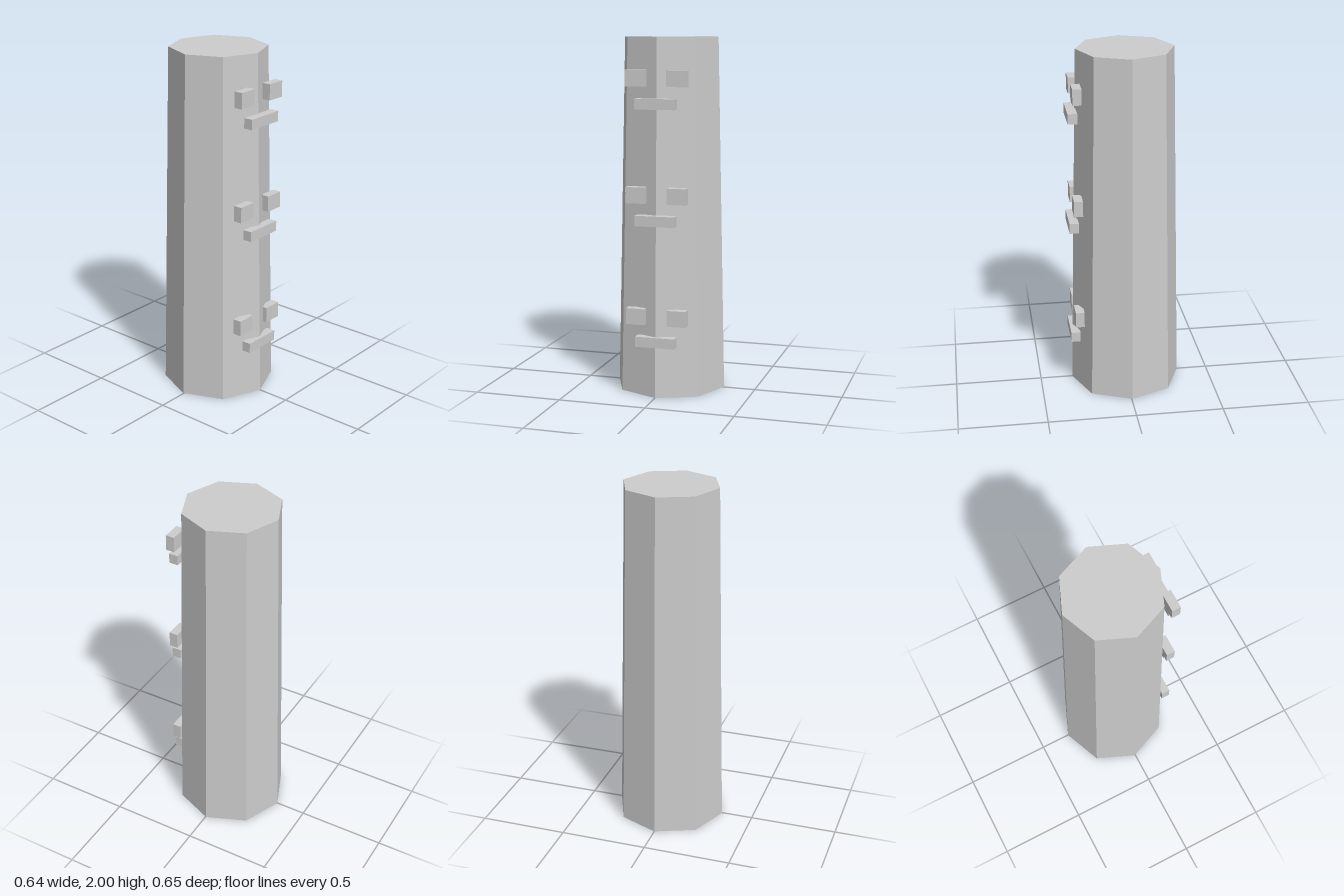
import * as THREE from 'three';

export function createModel() {
  const group = new THREE.Group();
  const stone = new THREE.MeshStandardMaterial({ color: 0xcccccc });
  stone.name = 'paleGrey';

  const add = (name, geometry, x, y, z) => {
    // separate face normals keep the facets flat
    const flat = geometry.toNonIndexed();
    flat.computeVertexNormals();
    const mesh = new THREE.Mesh(flat, stone);
    mesh.name = name;
    mesh.position.set(x, y, z);
    group.add(mesh);
  };

  // Tapered eight-sided pole with a corner facing the front
  add('pole', new THREE.CylinderGeometry(0.273, 0.318, 2, 8), 0, 1, -0.005);

  // Three stacked faces: two block eyes above a bar mouth
  [1.64, 1.0, 0.318].forEach((y) => {
    for (const side of [-1, 1]) {
      add(side > 0 ? 'leftEye' : 'rightEye',
        new THREE.BoxGeometry(0.109, 0.09, 0.05), side * 0.118, y + 0.138, 0.277);
    }
    add('mouth', new THREE.BoxGeometry(0.227, 0.058, 0.053), 0, y, 0.297);
  });

  return group;
}
